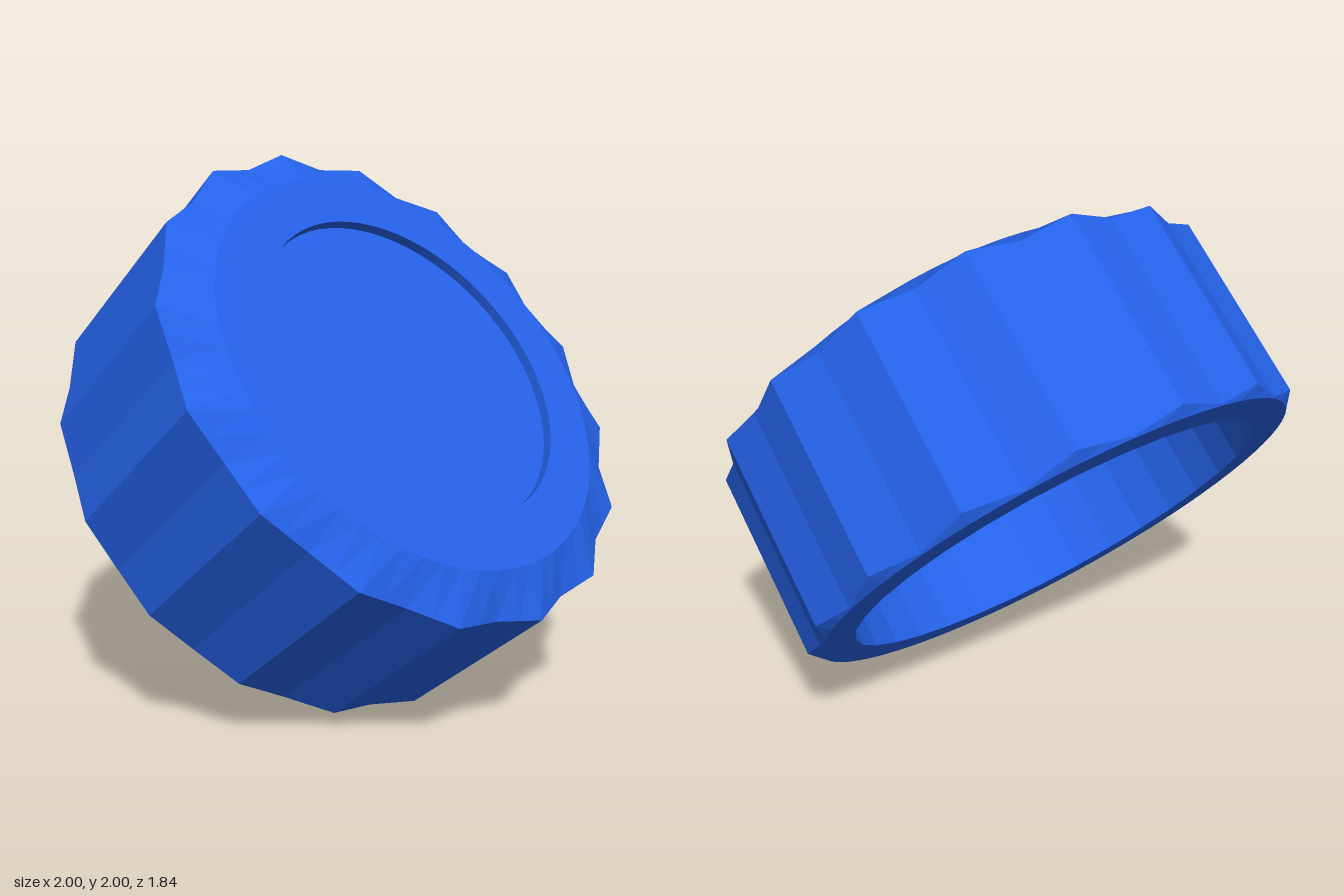
import * as THREE from 'three';

const FLUTES = 16;
const SEGMENTS = FLUTES * 4;
const OFFSET = THREE.MathUtils.degToRad(1.2);

function polar(r, h, k) {
  const a = OFFSET + (k / SEGMENTS) * Math.PI * 2;
  return new THREE.Vector3(r * Math.sin(a), h, -r * Math.cos(a));
}

// Round ring
function circle(r, h) {
  return Array.from({ length: SEGMENTS }, (_, k) => polar(r, h, k));
}

// Faceted ring alternating between crest and groove, straight in between
function fluted(crestR, crestH, grooveR = crestR, grooveH = crestH) {
  const corner = (k) => (k % 4 === 0 ? polar(crestR, crestH, k) : polar(grooveR, grooveH, k));
  return Array.from({ length: SEGMENTS }, (_, k) =>
    k % 2 === 0 ? corner(k) : corner(k - 1).lerp(corner(k + 1), 0.5));
}

// Joins consecutive rings with flat faces, skipping collapsed triangles
function loft(name, rings, material) {
  const points = [];
  const face = (a, b, c) => {
    if (a.distanceTo(b) > 1e-6 && b.distanceTo(c) > 1e-6 && c.distanceTo(a) > 1e-6) points.push(a, b, c);
  };
  for (let i = 0; i < rings.length - 1; i++) {
    for (let k = 0; k < SEGMENTS; k++) {
      const n = (k + 1) % SEGMENTS;
      face(rings[i][k], rings[i + 1][n], rings[i + 1][k]);
      face(rings[i][k], rings[i][n], rings[i + 1][n]);
    }
  }
  const geometry = new THREE.BufferGeometry().setFromPoints(points);
  geometry.computeVertexNormals();
  const mesh = new THREE.Mesh(geometry, material);
  mesh.name = name;
  return mesh;
}

export function createModel() {
  const blue = new THREE.MeshStandardMaterial({ color: 0x2563eb });
  blue.name = 'blue plastic';

  const cap = new THREE.Group();
  cap.name = 'flutedCap';

  // Shallow round recess in the top
  cap.add(loft('topRecess', [circle(0, 0.378), circle(0.626, 0.378), circle(0.626, 0.416)], blue));

  // Flat border and bevel down to the fluted edge
  const upperEdge = fluted(1, 0.342, 0.962, 0.322);
  cap.add(loft('topBevel', [circle(0.626, 0.416), circle(0.82, 0.416), upperEdge], blue));

  // Fluted grip wall and small lower bevel
  const lowerEdge = fluted(1, -0.385, 0.962, -0.412);
  const foot = circle(0.958, -0.417);
  cap.add(loft('gripWall', [upperEdge, lowerEdge, foot], blue));

  // Flat rim around the open underside
  const mouth = fluted(0.827, -0.417);
  cap.add(loft('bottomRim', [foot, mouth], blue));

  // Hollow inside
  cap.add(loft('innerHollow', [mouth, fluted(0.827, 0.27), circle(0, 0.27)], blue));

  // Tilt towards the front
  cap.rotation.x = THREE.MathUtils.degToRad(50);
  cap.position.set(0, 1.014, 0.017);

  const model = new THREE.Group();
  model.name = 'tiltedCap';
  model.add(cap);
  return model;
}
